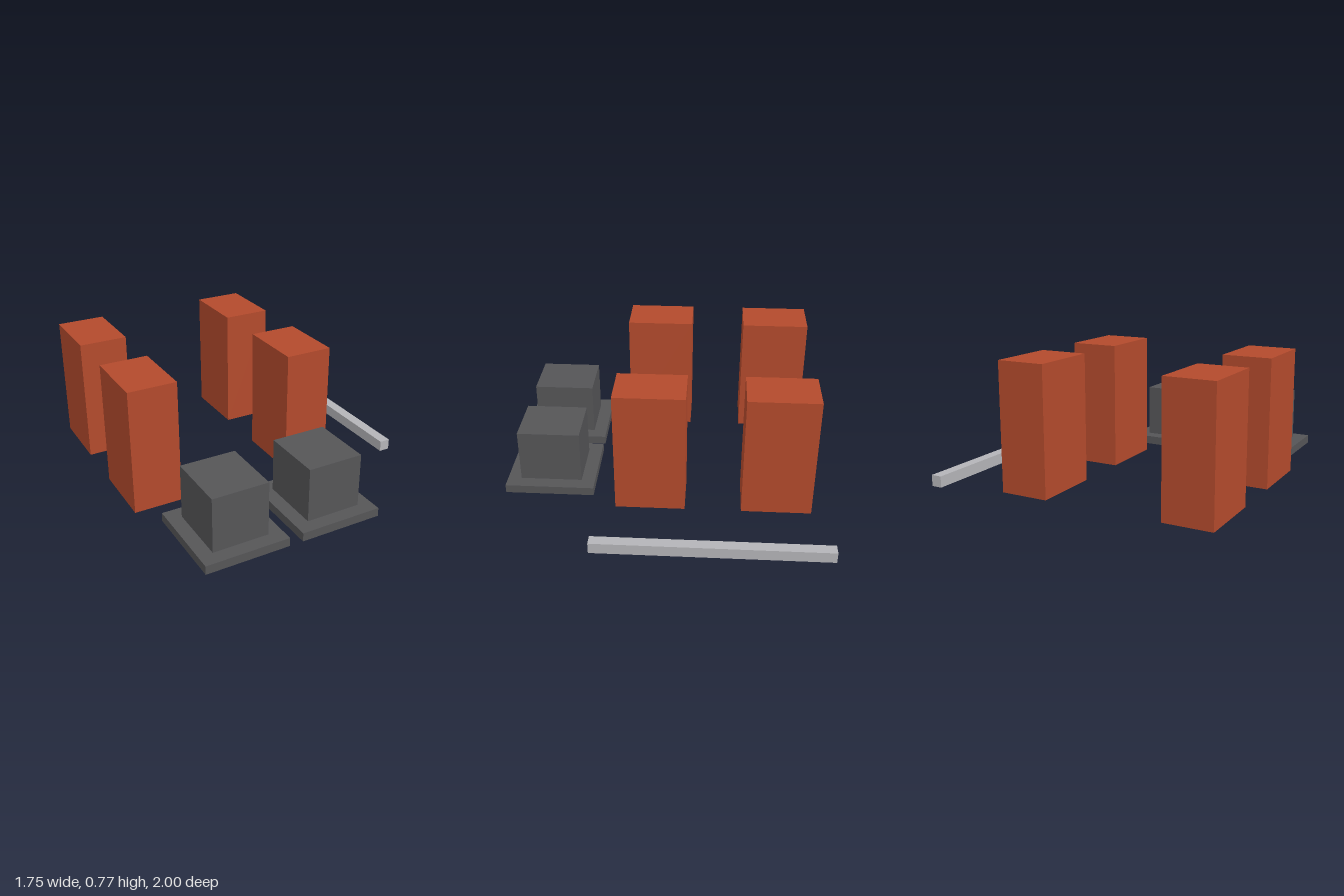
import * as THREE from 'three';

const rust = new THREE.MeshStandardMaterial({ name: 'rust red', color: 0xb34a2c });
const charcoal = new THREE.MeshStandardMaterial({ name: 'charcoal grey', color: 0x555557 });
const silver = new THREE.MeshStandardMaterial({ name: 'silver grey', color: 0xb4b4b8 });

// Box standing on height y, centred on x and z
function block(name, material, [w, h, d], [x, y, z]) {
  const mesh = new THREE.Mesh(new THREE.BoxGeometry(w, h, d), material);
  mesh.name = name;
  mesh.position.set(x, y + h / 2, z);
  return mesh;
}

export function createModel() {
  const model = new THREE.Group();
  model.name = 'blockSet';

  // Four tall pillars in a rectangle
  for (const [side, x] of [['Right', -0.73], ['Left', 0.288]]) {
    for (const [end, z] of [['back', -0.683], ['front', 0.085]]) {
      model.add(block(`${end}${side}Pillar`, rust, [0.296, 0.768, 0.425], [x, 0, z]));
    }
  }

  // Two pedestals: a wide plate with a block on it
  for (const [side, x] of [['right', -0.519], ['left', 0.076]]) {
    const pedestal = new THREE.Group();
    pedestal.name = `${side}Pedestal`;
    pedestal.add(
      block('basePlate', charcoal, [0.51, 0.053, 0.553], [x, 0, 0.7235]),
      block('upperBlock', charcoal, [0.34, 0.331, 0.383], [x, 0.053, 0.7235]),
    );
    model.add(pedestal);
  }

  // Long bar lying along the left side
  model.add(block('sideBar', silver, [0.067, 0.068, 1.404], [0.841, 0, -0.298]));

  return model;
}
